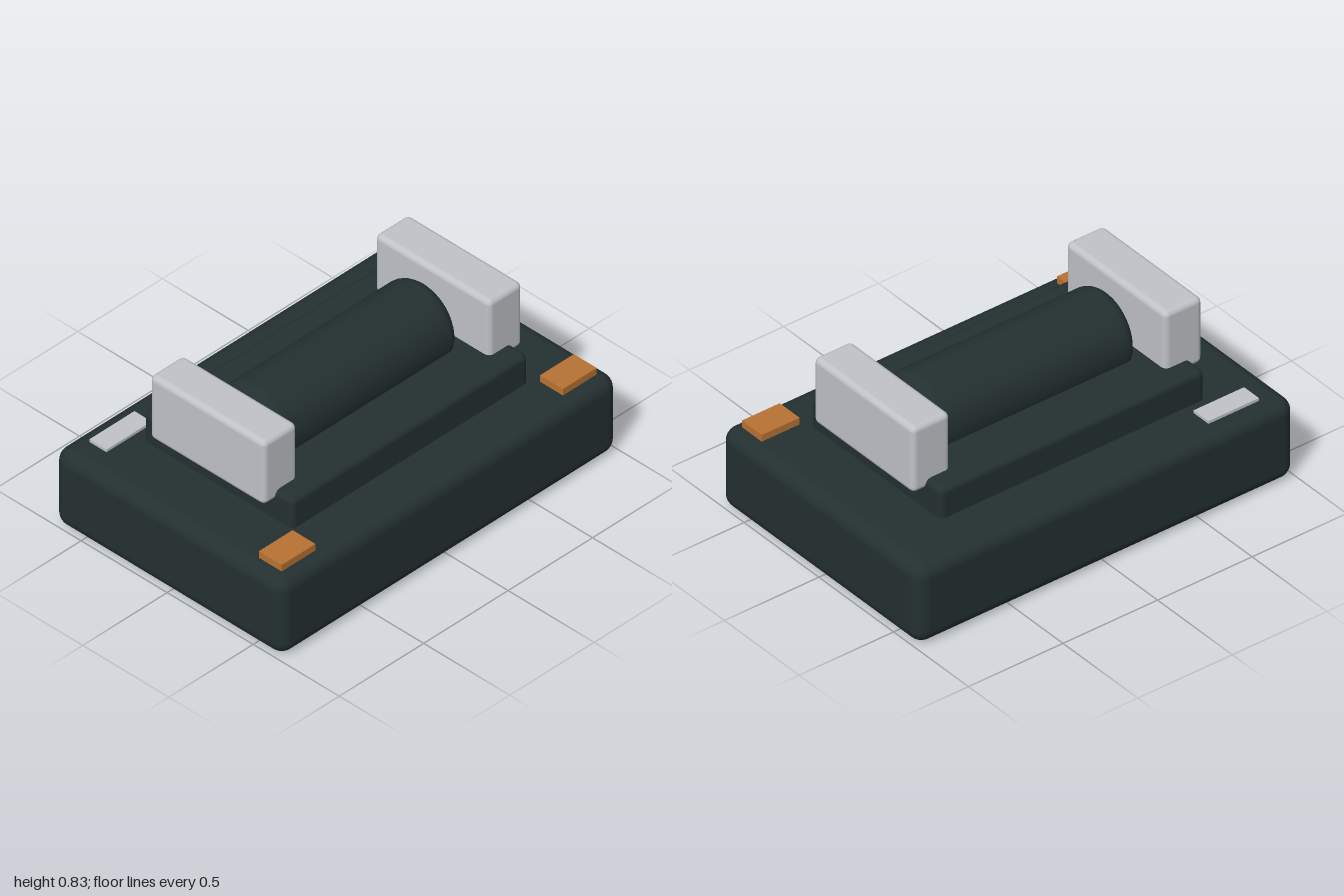
import * as THREE from 'three';
import { RoundedBoxGeometry } from 'three/addons/geometries/RoundedBoxGeometry.js';

const colour = (name, hex) => {
  const m = new THREE.MeshStandardMaterial({ color: hex });
  m.name = name;
  return m;
};

export function createModel() {
  const model = new THREE.Group();
  model.name = 'device';
  const dark = colour('dark green grey', 0x243030);
  const silver = colour('silver', 0xc0c2c8);
  const copper = colour('copper', 0xb87333);

  const add = (name, geometry, material, x, y, z) => {
    const mesh = new THREE.Mesh(geometry, material);
    mesh.name = name;
    mesh.position.set(x, y, z);
    model.add(mesh);
    return mesh;
  };

  // Stepped body
  add('base', new RoundedBoxGeometry(2, 0.4, 1.333, 5, 0.067), dark, 0, 0.2, 0);
  add('raisedPlate', new RoundedBoxGeometry(1.4, 0.2, 0.867, 4, 0.03), dark, 0, 0.45, 0);

  // Horizontal barrel with softened rims
  const radius = 0.2, half = 0.533, rim = 0.06;
  const profile = [new THREE.Vector2(0, -half)];
  for (const end of [-1, 1]) {
    for (let i = 0; i <= 6; i++) {
      const a = (end < 0 ? i : 6 - i) / 6 * Math.PI / 2;
      profile.push(new THREE.Vector2(
        radius - rim + rim * Math.sin(a),
        end * (half - rim + rim * Math.cos(a))
      ));
    }
  }
  profile.push(new THREE.Vector2(0, half));
  const barrel = add('barrel', new THREE.LatheGeometry(profile, 48), dark, 0, 0.6, 0);
  barrel.rotation.z = Math.PI / 2;

  // Mirrored end blocks and front contact pads
  for (const [side, s] of [['left', 1], ['right', -1]]) {
    add(side + 'EndBlock', new RoundedBoxGeometry(0.2, 0.333, 0.667, 4, 0.027), silver, s * 0.667, 0.667, 0);
    add(side + 'ContactPad', new THREE.BoxGeometry(0.2, 0.035, 0.133), copper, s * 0.833, 0.4165, 0.533);
  }

  // Small rear label plate
  add('rearPlate', new THREE.BoxGeometry(0.267, 0.014, 0.1), silver, -0.733, 0.407, -0.533);

  return model;
}
